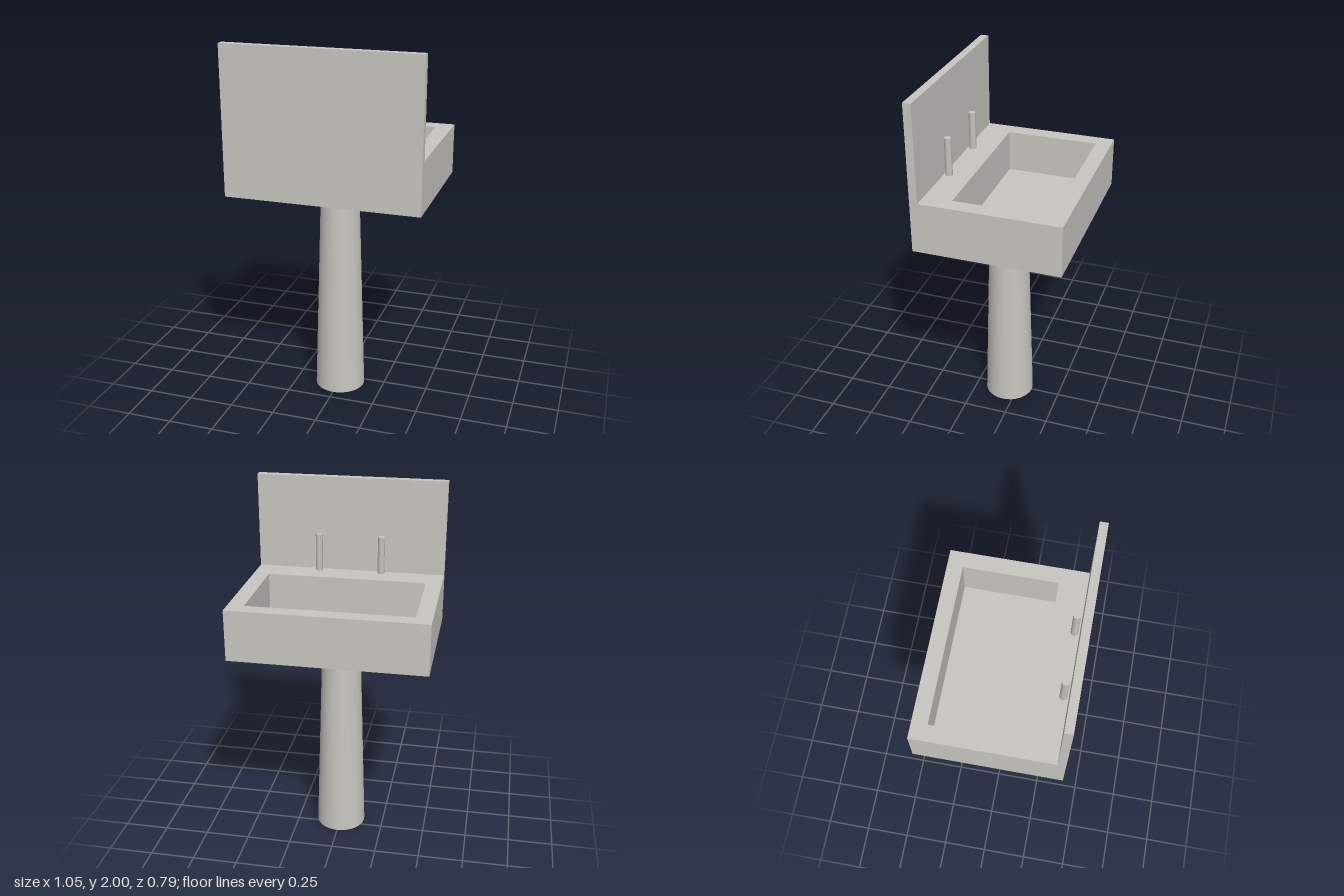
import * as THREE from 'three';

export function createModel() {
  const group = new THREE.Group();
  const ceramic = new THREE.MeshStandardMaterial({ color: 0xc8c6c0 });
  ceramic.name = 'ceramic';
  const openCeramic = ceramic;
  openCeramic.side = THREE.DoubleSide;

  const add = (name, geometry, x, y, z) => {
    const mesh = new THREE.Mesh(geometry, ceramic);
    mesh.name = name;
    mesh.position.set(x, y, z);
    group.add(mesh);
  };

  const under = 1.197, floorY = 1.24, rim = 1.475;
  const halfW = 0.527, halfD = 0.394;

  // Rectangle path; z runs opposite to the shape's y
  const rect = (path, x, z0, z1) => {
    path.moveTo(-x, -z1);
    path.lineTo(x, -z1);
    path.lineTo(x, -z0);
    path.lineTo(-x, -z0);
    path.closePath();
    return path;
  };

  // Basin walls around a rectangular bowl
  const outline = rect(new THREE.Shape(), halfW, -halfD, halfD);
  outline.holes.push(rect(new THREE.Path(), 0.44, -0.31, 0.2));
  const walls = new THREE.ExtrudeGeometry(outline, { depth: rim - under, bevelEnabled: false });
  walls.rotateX(-Math.PI / 2);
  add('basinWalls', walls, 0, under, 0);

  // Bowl floor closing the opening
  add('bowlFloor', new THREE.BoxGeometry(0.88, floorY - under, 0.51), 0, (under + floorY) / 2, -0.055);

  // Upright splash panel
  add('splashback', new THREE.BoxGeometry(halfW * 2, 2 - rim, 0.043), 0, (2 + rim) / 2, halfD - 0.0215);

  // Hollow tapered pedestal
  add('pedestal', new THREE.CylinderGeometry(0.105, 0.14, under, 32, 1, true), 0, under / 2, 0.055);

  // Pair of tap posts
  for (const [name, x] of [['leftTap', 0.176], ['rightTap', -0.176]]) {
    add(name, new THREE.CylinderGeometry(0.02, 0.02, 0.21, 7, 1, false, Math.PI / 2), x, rim + 0.105, 0.323);
  }

  return group;
}
